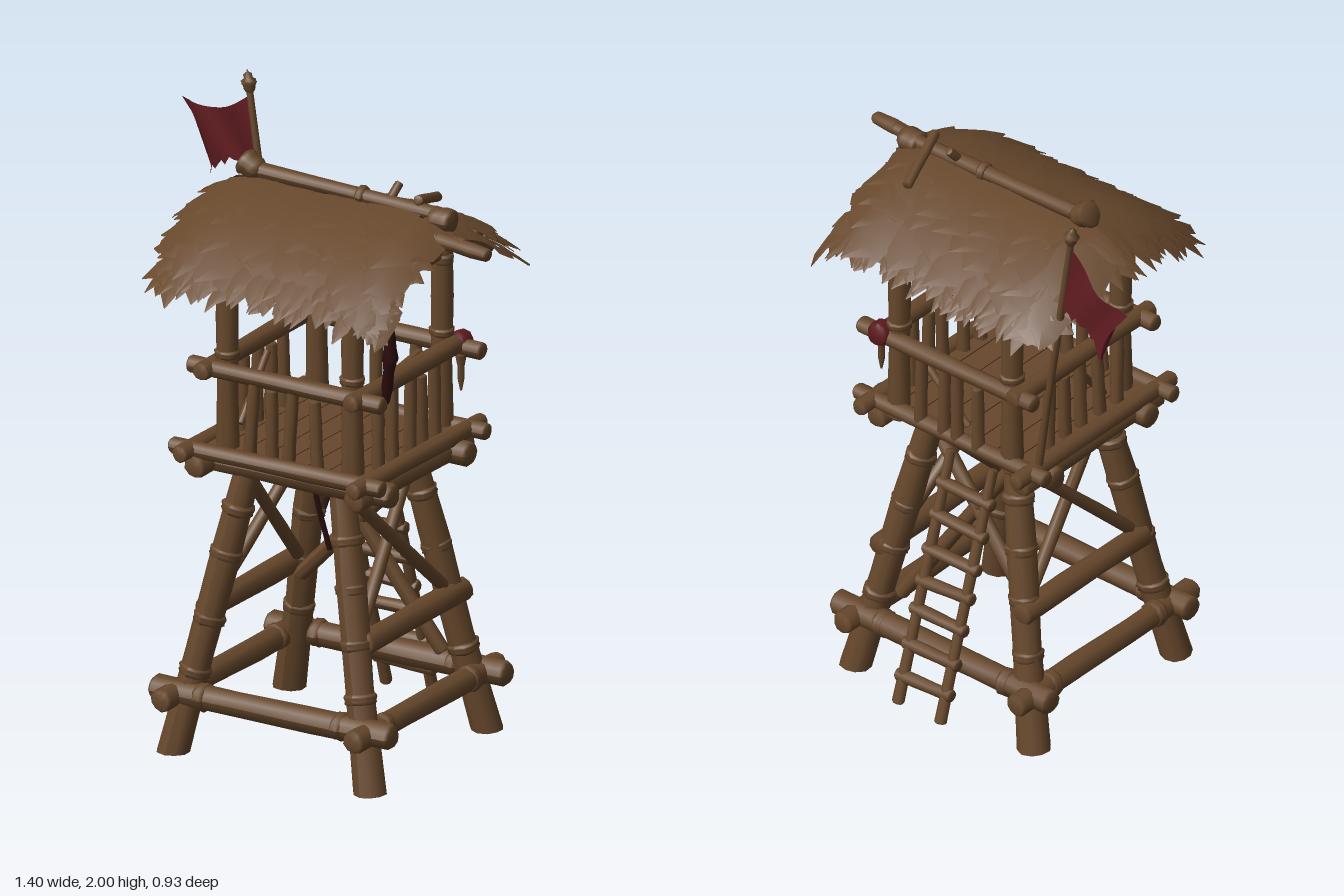
import * as THREE from 'three';
import { mergeGeometries } from 'three/addons/utils/BufferGeometryUtils.js';

const V = (x, y, z) => new THREE.Vector3(x, y, z);
const CX = 0.085; // tower axis

export function createModel() {
  const root = new THREE.Group();
  root.name = 'watchtower';
  const mat = (name, color, side = THREE.FrontSide) => {
    const m = new THREE.MeshStandardMaterial({ color, side });
    m.name = name;
    return m;
  };
  const wood = mat('brown wood', 0x67482c);
  const thatch = mat('brown thatch', 0x67482c, THREE.DoubleSide);
  const red = mat('red cloth', 0x5e1b1f, THREE.DoubleSide);
  const dark = mat('dark red rope', 0x2c0c0d, THREE.DoubleSide);

  let seed = 7;
  const rnd = () => ((seed = (seed * 16807) % 2147483647) / 2147483647);
  const vary = (a) => (rnd() - 0.5) * 2 * a;

  const group = (name) => {
    const g = new THREE.Group();
    g.name = name;
    root.add(g);
    return g;
  };

  // Slightly uneven log with chamfered ends between two points
  function log(parent, name, a, b, r1, r2 = r1, material = wood, sides = 10) {
    const len = a.distanceTo(b), c = Math.min(r1 * 0.25, len * 0.2);
    const pts = [[0, 0], [r1 * 0.8, 0], [r1, c], [(r1 + r2) * 0.48, len * 0.35],
      [(r1 + r2) * 0.515, len * 0.65], [r2, len - c], [r2 * 0.8, len], [0, len]];
    const geo = new THREE.LatheGeometry(pts.map((p) => new THREE.Vector2(...p)), sides);
    const pos = geo.attributes.position, ph = rnd() * 6;
    for (let i = 0; i < pos.count; i++) {
      const x = pos.getX(i), z = pos.getZ(i);
      const k = 1 + 0.05 * Math.sin(3 * Math.atan2(z, x) + ph + pos.getY(i) * 9);
      pos.setX(i, x * k);
      pos.setZ(i, z * k);
    }
    const turn = new THREE.Quaternion().setFromUnitVectors(V(0, 1, 0), b.clone().sub(a).normalize());
    geo.applyQuaternion(turn).translate(a.x, a.y, a.z);
    for (let i = 0; i < pos.count; i++) pos.setY(i, Math.max(0, pos.getY(i))); // feet cut level with the ground
    geo.computeVertexNormals();
    const mesh = new THREE.Mesh(geo, material);
    mesh.name = name;
    parent.add(mesh);
  }
  // Short wrapped binding around a log
  function binding(parent, p, dir, r, h = 0.045) {
    const d = dir.clone().normalize().multiplyScalar(h / 2);
    log(parent, 'binding', p.clone().sub(d), p.clone().add(d), r);
  }

  // Legs: splayed, leaning in toward the platform
  const legs = group('legs');
  const legAt = (sx, sz, y) => V(CX + sx * (0.355 - 0.2 * y), y, sz * (0.338 - 0.15 * y));
  for (const sx of [-1, 1]) for (const sz of [-1, 1]) {
    const a = legAt(sx, sz, -0.025), b = legAt(sx, sz, 0.97);
    log(legs, 'leg', a, b, 0.054, 0.041);
    for (const y of [0.27, 0.46, 0.62, 0.79]) binding(legs, legAt(sx, sz, y + vary(0.03)), b.clone().sub(a), 0.051 + vary(0.002), 0.04);
  }

  // Lower frame, mid beams and cross braces
  const frame = group('lowerFrame');
  for (const s of [-1, 1]) {
    log(frame, 'lowBeam', V(-0.345, 0.195, s * 0.335), V(0.525, 0.195, s * 0.335), 0.041);
    log(frame, 'lowSideBeam', V(CX + s * 0.35, 0.19, 0.43), V(CX + s * 0.35, 0.19, -0.42), 0.038);
    for (const t of [-1, 1]) {
      binding(frame, V(CX + t * 0.25, 0.195, s * 0.335), V(1, 0, 0), 0.045);
      binding(frame, V(CX + s * 0.35, 0.19, t * 0.25), V(0, 0, 1), 0.043);
    }
    log(frame, 'midBeam', V(CX + s * 0.29, 0.455, 0.27), V(CX + s * 0.29, 0.455, -0.32), 0.038);
    for (const t of [-1, 1]) {
      log(frame, 'sideBrace', V(CX + s * 0.19 + t * 0.012, 0.87, t * 0.17), V(CX + s * 0.265 + t * 0.012, 0.49, t * -0.22), 0.021);
    }
  }
  log(frame, 'backBrace', V(-0.06, 0.88, -0.16), V(0.34, 0.26, -0.25), 0.024);
  log(frame, 'backBrace', V(0.27, 0.86, -0.16), V(-0.17, 0.42, -0.23), 0.024);

  // Ladder leaning in from the back
  const ladder = group('ladder');
  const ladderAt = (x, y) => V(x, y, -0.467 + 0.32 * y);
  for (const x of [0.005, 0.175]) log(ladder, 'ladderRail', ladderAt(x, 0.03), ladderAt(x + 0.004, 0.84), 0.02, 0.016);
  for (let i = 0; i < 7; i++) {
    const y = 0.12 + i * 0.102;
    log(ladder, 'rung', ladderAt(-0.02, y + vary(0.008)), ladderAt(0.2, y + vary(0.008)), 0.021);
  }

  // Platform
  const deck = group('platform');
  for (let i = 0; i < 8; i++) {
    const plank = new THREE.Mesh(new THREE.BoxGeometry(0.075, 0.025, 0.59 + vary(0.015)), wood);
    plank.name = 'plank';
    plank.position.set(CX - 0.2765 + i * 0.079, 0.982, 0);
    deck.add(plank);
  }
  for (const s of [-1, 1]) {
    log(deck, 'edgeLog', V(-0.3, 0.99, s * 0.305), V(0.47, 0.99, s * 0.305), 0.027);
    log(deck, 'sideEdgeLog', V(CX + s * 0.315, 0.99, 0.375), V(CX + s * 0.315, 0.99, -0.38), 0.028);
    log(deck, 'joist', V(-0.275, 0.94, s * 0.225), V(0.46, 0.94, s * 0.225), 0.04);
    log(deck, 'crossJoist', V(CX + s * 0.29, 0.94, 0.33), V(CX + s * 0.29, 0.94, -0.33), 0.038);
  }

  // Corner posts and railing
  const rail = group('railing');
  const postX = [-0.14, 0.315], postZ = [0.235, -0.285];
  for (const x of postX) for (const z of postZ) {
    log(rail, 'post', V(x, 0.95, z), V(x, 1.67, z), 0.038, 0.032);
    binding(rail, V(x, 1.3, z), V(0, 1, 0), 0.04, 0.03);
    binding(rail, V(x, 1.54, z), V(0, 1, 0), 0.038, 0.04);
  }
  const railX = [-0.185, 0.36], railZ = [0.27, -0.31];
  for (const z of railZ) {
    log(rail, 'handrail', V(-0.255, 1.255, z), V(0.45, 1.25, z), 0.028);
    for (const x of [-0.03, 0.05, 0.115, 0.21]) {
      log(rail, 'baluster', V(x + vary(0.012), 0.99, z), V(x + vary(0.012), 1.235 + vary(0.02), z), 0.022, 0.019);
    }
  }
  for (const x of railX) {
    log(rail, 'sideHandrail', V(x, 1.255, 0.325), V(x, 1.26, -0.34), 0.03);
    for (const z of [0.165, 0.075, -0.02, -0.095, -0.165]) {
      log(rail, 'baluster', V(x, 0.99, z + vary(0.012)), V(x, 1.235 + vary(0.02), z + vary(0.012)), 0.022, 0.019);
    }
  }
  log(rail, 'railBrace', V(0.04, 1.03, -0.28), V(0.24, 1.22, -0.28), 0.012);
  log(rail, 'railBrace', V(-0.16, 1.03, 0.13), V(-0.16, 1.22, -0.03), 0.012);

  // Roof surface: sagging gable, drooping at the ends
  const roofY = (x, z) => {
    const d = Math.abs(z + 0.025), l = Math.max(0, -0.2 - x), r = Math.max(0, x - 0.38);
    return 1.775 - 0.16 * d - 0.76 * d * d - 2 * l * l - 2.2 * r * r;
  };

  // Roof timbers
  const timbers = group('roofTimbers');
  for (const z of [0.235, -0.285]) log(timbers, 'wallPlate', V(-0.27, 1.63, z), V(0.45, 1.63, z), 0.03);
  for (const x of postX) {
    log(timbers, 'tieBeam', V(x, 1.555, 0.27), V(x, 1.555, -0.31), 0.018);
    for (const z of postZ) {
      const dz = z > 0 ? -0.13 : 0.13, dx = x < 0 ? 0.13 : -0.13;
      log(timbers, 'kneeBrace', V(x, 1.49, z), V(x + dx, 1.63, z), 0.02);
      log(timbers, 'kneeBrace', V(x, 1.54, z), V(x, 1.68, z + dz), 0.02);
    }
  }
  for (const x of [-0.25, -0.02, 0.2, 0.43]) for (const s of [-1, 1]) {
    const p = [0, 0.2, 0.355].map((d) => V(x, roofY(x, s * d - 0.025) - 0.05, s * d - 0.025));
    log(timbers, 'rafter', p[0], p[1], 0.026);
    log(timbers, 'rafter', p[1], p[2], 0.026, 0.02);
  }
  log(timbers, 'ridgePole', V(-0.22, 1.805, -0.04), V(0.5, 1.785, -0.035), 0.026, 0.023);
  log(timbers, 'ridgeEnd', V(-0.255, 1.83, -0.04), V(-0.19, 1.795, -0.04), 0.046, 0.034);
  log(timbers, 'ridgeEnd', V(0.44, 1.775, -0.03), V(0.515, 1.775, -0.03), 0.04);
  log(timbers, 'jutPole', V(0.1, 1.725, 0.03), V(0.6, 1.735, 0.035), 0.022);
  log(timbers, 'jutPole', V(0.5, 1.735, 0.033), V(0.695, 1.725, 0.05), 0.027, 0.021);
  log(timbers, 'crossPole', V(0.34, 1.765, -0.22), V(0.4, 1.83, -0.01), 0.016);
  log(timbers, 'crossPole', V(0.27, 1.765, -0.01), V(0.29, 1.845, -0.08), 0.014);
  binding(timbers, V(0.18, 1.795, -0.038), V(1, 0, 0), 0.031, 0.03);

  // Thatch base sheets, outer and lining
  const roof = group('thatchRoof');
  for (const drop of [0, 0.035]) {
    const sheet = new THREE.PlaneGeometry(0.81, 0.76, 16, 20).rotateX(-Math.PI / 2).translate(0.095, 0, -0.01);
    const sp = sheet.attributes.position;
    for (let i = 0; i < sp.count; i++) sp.setY(i, roofY(sp.getX(i), sp.getZ(i)) - drop);
    sheet.computeVertexNormals();
    const m = new THREE.Mesh(sheet, thatch);
    m.name = 'thatchSheet';
    roof.add(m);
  }

  // One ragged, pointed thatch leaf laid on the roof from (x, z) along an angle
  function leaf(x, z, ang, len, w, lift) {
    const dx = Math.cos(ang), dz = Math.sin(ang), pos = [], idx = [];
    const tip = vary(0.7);
    [[0, 0.85], [0.4, 1], [0.75, 0.85], [1, 0.03]].forEach(([t, k], i) => {
      for (const s of [-1, 0, 1]) {
        const o = (s * k + (t === 1 ? tip : 0)) * w / 2;
        const px = x + dx * t * len - dz * o, pz = z + dz * t * len + dx * o;
        pos.push(px, roofY(px, pz) + lift + 0.012 * t + (s === 0 ? 0.003 : 0), pz);
      }
      if (i) for (let j = 0; j < 2; j++) {
        const a = i * 3 + j;
        idx.push(a - 3, a, a - 2, a - 2, a, a + 1);
      }
    });
    const g = new THREE.BufferGeometry();
    g.setAttribute('position', new THREE.Float32BufferAttribute(pos, 3));
    g.setIndex(idx);
    return g;
  }
  const leaves = [];
  for (const s of [-1, 1]) {
    // broad overlapping courses from eave to ridge
    for (let row = 0; row < 4; row++) for (let i = 0; i < 8; i++) {
      const x = -0.29 + i * 0.1 + (row % 2) * 0.045 + vary(0.025);
      leaves.push(leaf(x, -0.02 + s * (0.2 - row * 0.065), s * Math.PI / 2 + vary(0.25), 0.19 + vary(0.05), 0.15 + vary(0.04), 0.003 + row * 0.003 + vary(0.003)));
    }
    // ragged eave, in three layers
    for (let layer = 0; layer < 3; layer++) for (let i = 0; i < 21; i++) {
      const x = -0.28 + i * 0.039 + vary(0.014);
      leaves.push(leaf(x, -0.005 + s * 0.29, s * Math.PI / 2 + vary(0.3), 0.135 + vary(0.03), 0.06 + vary(0.018), -0.046 + layer * 0.02));
    }
  }
  // ragged gable ends, the far end bulging outward
  for (const s of [-1, 1]) for (let layer = 0; layer < 3; layer++) for (let i = 0; i < 21; i++) {
    const z = -0.37 + i * 0.036 + vary(0.012);
    const bulge = s < 0 ? 0.09 * Math.cos((z + 0.02) * 3.3) : 0;
    const x = s < 0 ? -0.24 : 0.42 + 0.05 * Math.abs(z);
    leaves.push(leaf(x, z, (s < 0 ? Math.PI : 0) + vary(0.35), 0.085 + bulge + vary(0.03), 0.06 + vary(0.015), -0.034 + layer * 0.015));
  }
  const leafGeo = mergeGeometries(leaves);
  leafGeo.computeVertexNormals();
  const leafMesh = new THREE.Mesh(leafGeo, thatch);
  leafMesh.name = 'thatchLeaves';
  roof.add(leafMesh);

  // Flag pole with spear tip, and a torn flag
  const flag = group('flag');
  log(flag, 'flagPole', V(-0.23, 0.97, -0.27), V(-0.413, 1.95, -0.325), 0.014, 0.011);
  log(flag, 'poleTip', V(-0.408, 1.93, -0.324), V(-0.413, 1.965, -0.325), 0.014, 0.025);
  log(flag, 'poleTip', V(-0.413, 1.96, -0.325), V(-0.42, 2, -0.326), 0.025, 0.003);
  const cloth = new THREE.PlaneGeometry(1, 1, 14, 10);
  const cp = cloth.attributes.position;
  for (let i = 0; i < cp.count; i++) {
    const u = cp.getX(i) + 0.5, v = 0.5 - cp.getY(i); // u: pole to free end, v: top to bottom
    const top = V(-0.415 - 0.28 * u, 1.915 - 0.08 * u - 0.04 * Math.sin(Math.PI * u), 0);
    const low = V(-0.37 - 0.245 * u, 1.67 - 0.07 * u + 0.045 * Math.sin(Math.PI * u), 0);
    const p = top.lerp(low, v);
    if (v > 0.99) p.y += 0.012 * Math.sin(i * 2.4);
    if (u > 0.99) p.x += 0.025 * Math.sin(v * Math.PI) + 0.01 * Math.sin(i * 1.7);
    cp.setXYZ(i, p.x, p.y, -0.325 - 0.08 * u + 0.008 * Math.sin(u * 9 + v * 2));
  }
  cloth.computeVertexNormals();
  const clothMesh = new THREE.Mesh(cloth, red);
  clothMesh.name = 'flagCloth';
  flag.add(clothMesh);

  // Hanging ropes, rag and red wraps
  const extras = group('hangings');
  const rope = (name, pts, r) => {
    const m = new THREE.Mesh(new THREE.TubeGeometry(new THREE.CatmullRomCurve3(pts), 12, r, 5), dark);
    m.name = name;
    extras.add(m);
  };
  rope('hangingRope', [V(0.005, 0.95, -0.03), V(0.02, 0.8, -0.02), V(0.05, 0.6, -0.055)], 0.009);
  rope('hangingRope', [V(0.07, 0.76, 0.01), V(0.1, 0.86, -0.01), V(0.11, 0.74, -0.04)], 0.009);
  rope('hangingRope', [V(0.16, 0.86, -0.02), V(0.19, 0.87, -0.01), V(0.2, 0.8, -0.03)], 0.008);
  log(extras, 'hangingRag', V(0.47, 1.52, 0.27), V(0.468, 1.4, 0.26), 0.014, 0.028, dark, 6);
  log(extras, 'hangingRag', V(0.468, 1.42, 0.26), V(0.44, 1.25, 0.24), 0.024, 0.012, dark, 6);
  log(extras, 'redWrap', V(0.361, 1.26, -0.29), V(0.361, 1.26, -0.347), 0.039, 0.039, red);
  log(extras, 'wrapTail', V(0.375, 1.23, -0.3), V(0.375, 1.11, -0.3), 0.018, 0.004, wood, 6);
  return root;
}
